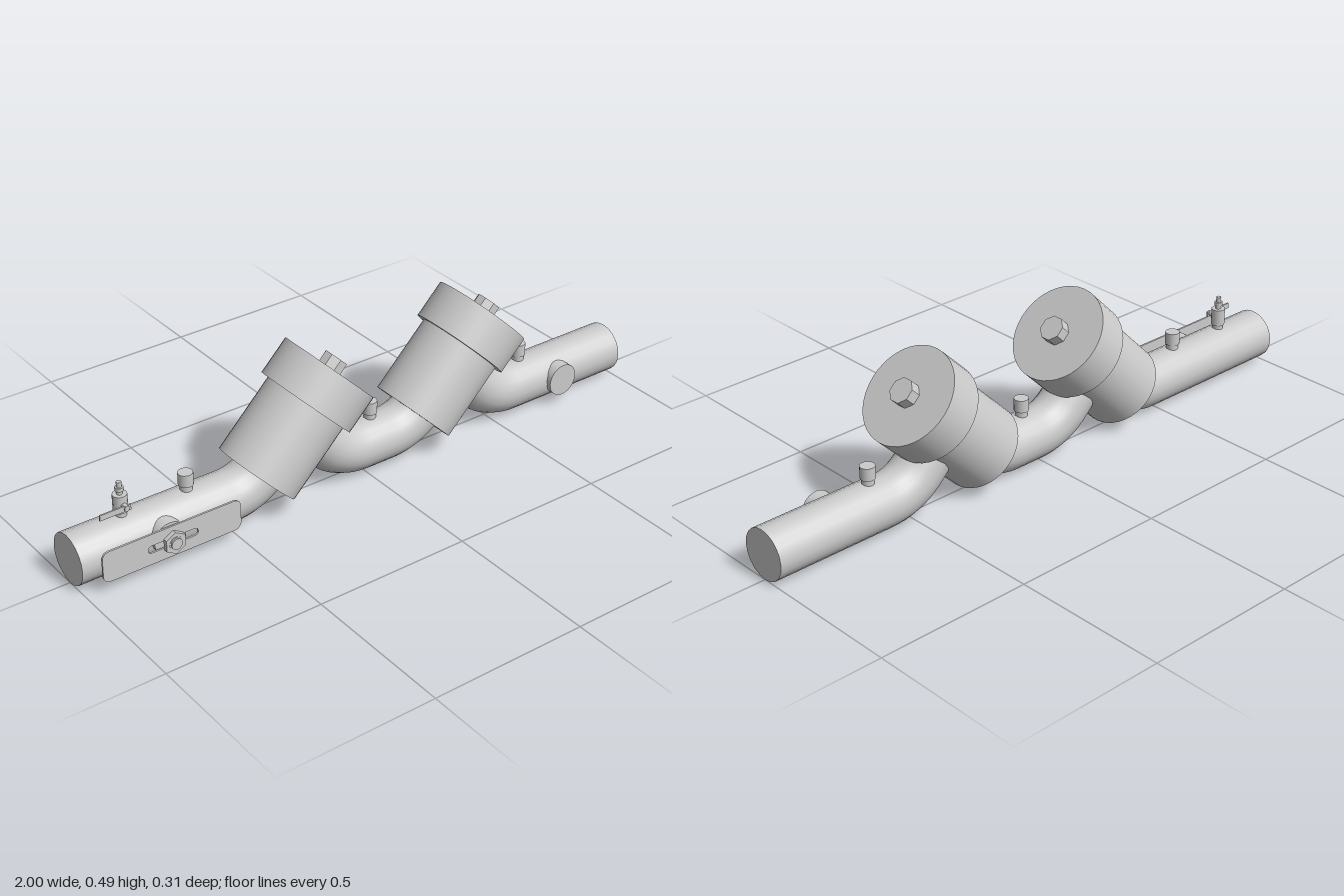
import * as THREE from 'three';

const mat = new THREE.MeshStandardMaterial({ color: 0xcccccc });
const flat = new THREE.MeshStandardMaterial({ color: 0xcccccc, flatShading: true });
const PIPE_R = 0.08, AXIS_Y = 0.08, PITCH = 0.58;

function add(parent, name, geo, x, y, z, material = mat) {
  const m = new THREE.Mesh(geo, material);
  m.name = name;
  m.position.set(x, y, z);
  parent.add(m);
  return m;
}

// cylinder along y, or along z when facing forward
function cyl(r, h, n = 24, forward = false) {
  const g = new THREE.CylinderGeometry(r, r, h, n);
  return forward ? g.rotateX(Math.PI / 2) : g;
}

// runs a pipe through points; a three-point entry is a rounded bend
function pipe(parent, name, start, steps) {
  const v = ([x, y]) => new THREE.Vector3(x, y, 0);
  const path = new THREE.CurvePath();
  let from = v(start);
  for (const s of steps) {
    const to = v(s.slice(0, 2));
    path.add(s.length === 4
      ? new THREE.QuadraticBezierCurve3(from, v(s.slice(2)), to)
      : new THREE.LineCurve3(from, to));
    from = to;
  }
  add(parent, name, new THREE.TubeGeometry(path, 64, PIPE_R, 20, false), 0, 0, 0);
}

function roundedRect(shape, w, h, r) {
  const x = w / 2, y = h / 2, q = Math.PI / 2;
  shape.absarc(x - r, y - r, r, 0, q);
  shape.absarc(-x + r, y - r, r, q, 2 * q);
  shape.absarc(-x + r, -y + r, r, 2 * q, 3 * q);
  shape.absarc(x - r, -y + r, r, 3 * q, 4 * q);
  shape.closePath();
  return shape;
}

// slanted valve housing; local origin is the centre of its lower face
function valveBody(x) {
  const g = new THREE.Group();
  g.name = 'checkValve';
  add(g, 'valveBody', cyl(0.133, 0.26, 40), 0, 0.13, 0);
  add(g, 'valveCap', cyl(0.156, 0.123, 40), 0, 0.3135, 0);
  add(g, 'capBoss', cyl(0.04, 0.04, 8).rotateY(Math.PI / 8), 0, 0.391, 0, flat);
  g.position.set(x, 0.115, 0);
  g.rotation.z = -Math.PI / 4;
  return g;
}

export function createModel() {
  const model = new THREE.Group();
  model.name = 'doubleCheckValve';

  // pipe runs
  const y = AXIS_Y;
  pipe(model, 'inletPipe', [-1, y], [[-0.485, y], [-0.344, 0.139, -0.402, y]]);
  pipe(model, 'middlePipe', [-0.195, 0.2],
    [[-0.134, 0.139], [0.007, y, -0.076, y], [0.095, y], [0.236, 0.139, 0.178, y]]);
  pipe(model, 'outletPipe', [-0.195 + PITCH, 0.2],
    [[-0.134 + PITCH, 0.139], [0.007 + PITCH, y, -0.076 + PITCH, y], [1, y]]);
  for (const s of [-1, 1]) {
    add(model, 'pipeEnd', new THREE.CircleGeometry(PIPE_R, 20), s, y, 0).rotation.y = s * Math.PI / 2;
  }

  // check valves
  for (const i of [0, 1]) model.add(valveBody(-0.368 + i * PITCH));

  // test ports on top of the pipes
  for (const x of [-0.61, 0.045, 0.632]) {
    add(model, 'portNeck', cyl(0.019, 0.06, 16), x, 0.16, 0);
    add(model, 'testPort', cyl(0.023, 0.04, 16), x, 0.195, 0);
  }

  // small test cock with side lever
  const cock = new THREE.Group();
  cock.name = 'testCock';
  cock.position.set(-0.825, 0, 0);
  add(cock, 'cockNeck', cyl(0.017, 0.05, 16), 0, 0.165, 0);
  add(cock, 'cockBody', cyl(0.022, 0.055, 12), 0, 0.2, 0);
  add(cock, 'cockStem', cyl(0.009, 0.03, 12), 0, 0.235, 0);
  add(cock, 'cockNozzle', cyl(0.013, 0.012, 12), 0, 0.245, 0);
  add(cock, 'cockTip', cyl(0.008, 0.02, 12), 0, 0.258, 0);
  add(cock, 'leverPin', cyl(0.009, 0.03, 12, true), 0, 0.198, 0.025);
  add(cock, 'cockLever', new THREE.BoxGeometry(0.1, 0.018, 0.005), -0.036, 0.198, 0.034);
  model.add(cock);

  // shut-off valve with flat slotted handle
  const valve = new THREE.Group();
  valve.name = 'shutOffValve';
  valve.position.set(-0.725, 0.087, 0);
  add(valve, 'collar', cyl(0.052, 0.05, 24, true), 0, 0, 0.068);
  add(valve, 'stem', cyl(0.022, 0.04, 16, true), 0, 0, 0.105);
  add(valve, 'nut', cyl(0.036, 0.016, 6, true), 0, 0, 0.116, flat);
  add(valve, 'stemTip', cyl(0.018, 0.03, 12, true), 0, 0, 0.115);
  const plate = roundedRect(new THREE.Shape(), 0.455, 0.1, 0.022);
  plate.holes.push(roundedRect(new THREE.Path(), 0.165, 0.024, 0.011));
  add(valve, 'handle', new THREE.ExtrudeGeometry(plate,
    { depth: 0.006, bevelEnabled: false, curveSegments: 6 }), 0, 0, 0.103);
  model.add(valve);

  // round boss on the outlet
  add(model, 'outletBoss', cyl(0.053, 0.06, 24, true), 0.745, 0.084, 0.064);

  return model;
}
